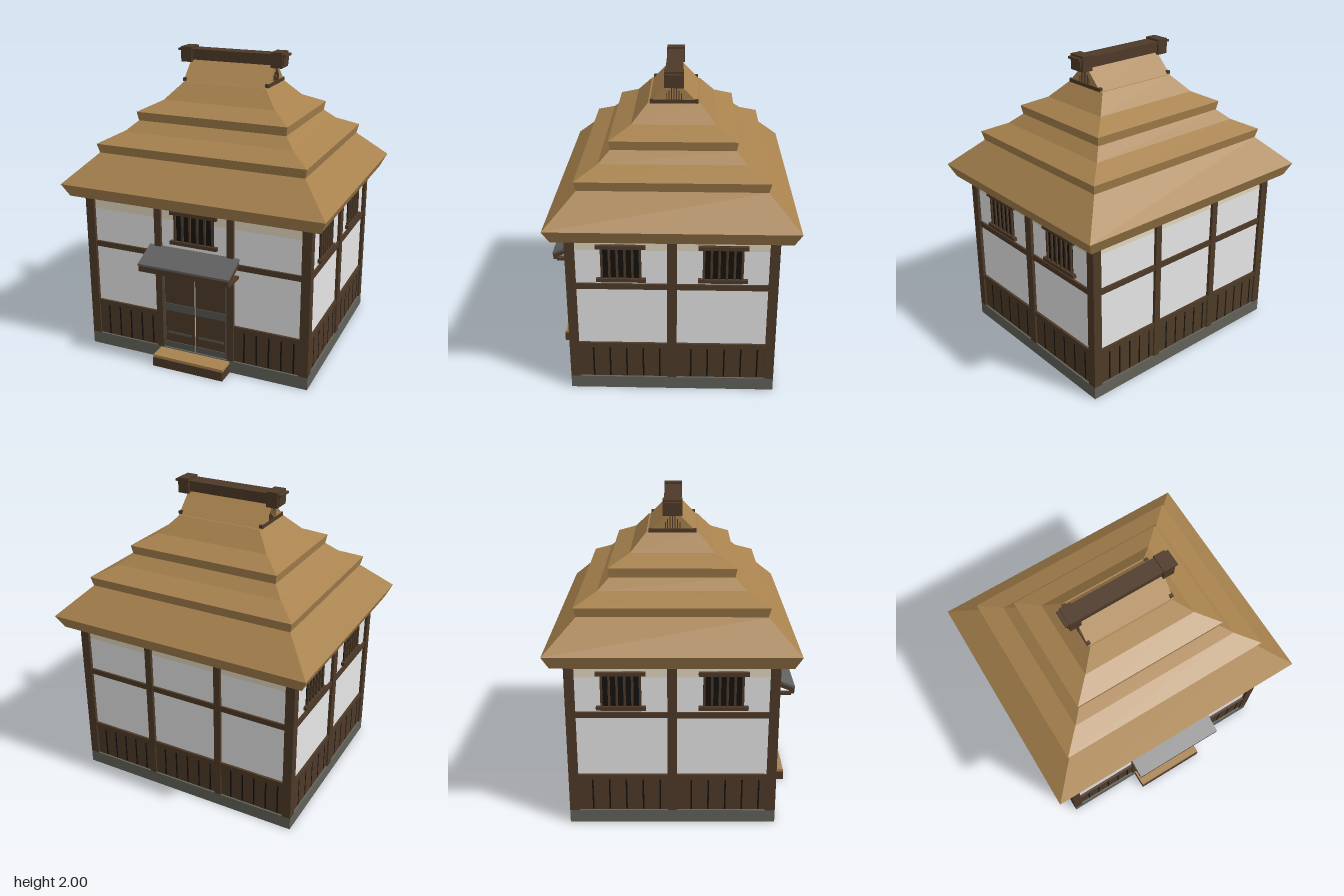
import * as THREE from 'three';

const mat = (name, color, side = THREE.FrontSide) => {
  const m = new THREE.MeshStandardMaterial({ color, side });
  m.name = name;
  return m;
};

export function createModel() {
  const thatch = mat('thatch', 0xa8824e);
  const wood = mat('dark wood', 0x4e3a28);
  const stone = mat('stone', 0x62625a);
  const slate = mat('slate grey', 0x606060);
  const iron = mat('door iron', 0x565650);
  const plaster = mat('white plaster', 0xe6e6e6);
  const cream = mat('cream plaster', 0xe3d8c0);
  const black = mat('opening black', 0x14120f);

  const house = new THREE.Group();
  house.name = 'thatchedHouse';
  const HX = 0.78, HZ = 0.655, EAVE = 1.1;
  // everything except the step and hood is centred a little behind the origin
  const body = new THREE.Group();
  body.name = 'body';
  body.position.z = -0.025;
  house.add(body);

  // box given by its min and max on each axis
  const box = (parent, name, m, x0, x1, y0, y1, z0, z1) => {
    const mesh = new THREE.Mesh(new THREE.BoxGeometry(x1 - x0, y1 - y0, z1 - z0), m);
    mesh.position.set((x0 + x1) / 2, (y0 + y1) / 2, (z0 + z1) / 2);
    mesh.name = name;
    parent.add(mesh);
    return mesh;
  };

  // foundation, plaster core and corner posts
  box(body, 'foundation', stone, -HX, HX, 0, 0.085, -HZ, HZ);
  box(body, 'plasterWalls', plaster, -HX + 0.02, HX - 0.02, 0.085, 1.0, -HZ + 0.02, HZ - 0.02);
  box(body, 'upperWalls', cream, -HX + 0.02, HX - 0.02, 1.0, EAVE, -HZ + 0.02, HZ - 0.02);
  for (const sx of [-1, 1]) for (const sz of [-1, 1]) {
    const x = sx * (HX - 0.03), z = sz * (HZ - 0.03);
    box(body, 'cornerPost', wood, x - 0.03, x + 0.03, 0.085, EAVE, z - 0.03, z + 0.03);
  }

  // barred window centred at x on a wall whose outer plane is z = d
  const barredWindow = (g, x, y0, y1, half, railHalf, d) => {
    const w = new THREE.Group();
    w.name = 'barredWindow';
    w.position.set(x, 0, d);
    box(w, 'opening', black, -half, half, y0, y1, -0.02, -0.014);
    for (const [a, b] of [[y0, y0 + 0.024], [y1 - 0.024, y1]])
      box(w, 'windowRail', wood, -railHalf, railHalf, a, b, -0.02, 0.004);
    for (let i = 0; i <= 5; i++) {
      const bx = (-1 + i * 0.4) * (half - 0.007);
      box(w, 'windowBar', wood, bx - 0.007, bx + 0.007, y0 + 0.02, y1 - 0.02, -0.016, -0.003);
    }
    g.add(w);
  };

  // timber frame of one wall: posts, middle beam and boarded skirt per bay
  const wallFrame = (name, angle, half, d, posts, postHalf, skipBay) => {
    const g = new THREE.Group();
    g.name = name;
    g.rotation.y = angle;
    body.add(g);
    const inner = half - 0.06;
    box(g, 'middleBeam', wood, -inner, inner, 0.735, 0.772, d - 0.02, d - 0.006);
    for (const p of posts)
      box(g, 'wallPost', wood, p - postHalf, p + postHalf, 0.085, EAVE, d - 0.025, d);
    const edges = [-inner, ...posts.flatMap((p) => [p - postHalf, p + postHalf]), inner];
    for (let b = 0; b < edges.length / 2; b++) {
      if (b === skipBay) continue;
      const x0 = edges[2 * b], x1 = edges[2 * b + 1];
      box(g, 'skirtBoards', wood, x0, x1, 0.085, 0.31, d - 0.022, d - 0.012);
      box(g, 'skirtRail', wood, x0, x1, 0.305, 0.34, d - 0.022, d - 0.004);
      const step = (x1 - x0) / 5.3;
      for (let i = 1; i <= 5; i++) {
        const x = x0 + (i - 0.15) * step;
        box(g, 'boardGap', black, x - 0.005, x + 0.005, 0.088, 0.305, d - 0.013, d - 0.011);
      }
    }
    return g;
  };

  const front = wallFrame('frontWall', 0, HX, HZ, [-0.2525, 0.2525], 0.0225, 1);
  wallFrame('backWall', Math.PI, HX, HZ, [-0.2525, 0.2525], 0.0225, -1);
  for (const s of [-1, 1]) {
    const side = wallFrame(s > 0 ? 'rightWall' : 'leftWall', s * Math.PI / 2, HZ, HX, [0], 0.03, -1);
    for (const x of [-0.313, 0.313]) barredWindow(side, x, 0.79, 1.04, 0.125, 0.153, HX);
  }
  barredWindow(front, 0, 0.84, 1.065, 0.137, 0.163, HZ);

  // double door with iron bands
  for (const s of [-1, 1]) {
    const leaf = new THREE.Group();
    leaf.name = 'doorLeaf';
    leaf.position.set(s * 0.115, 0, HZ - 0.02);
    box(leaf, 'doorPanel', wood, -0.11, 0.11, 0.088, 0.7, 0, 0.008);
    for (const [a, b] of [[0.088, 0.13], [0.36, 0.412], [0.635, 0.69]])
      box(leaf, 'ironBand', iron, -0.11, 0.11, a, b, 0.006, 0.013);
    box(leaf, 'ironEdge', iron, s > 0 ? 0.1 : -0.11, s > 0 ? 0.11 : -0.1, 0.13, 0.635, 0.006, 0.012);
    for (const [a, b] of [[0.19, 0.205], [0.61, 0.622]])
      box(leaf, 'thinBand', iron, -0.09, 0.09, a, b, 0.006, 0.011);
    front.add(leaf);
  }

  // entrance step
  const step = new THREE.Group();
  step.name = 'entranceStep';
  box(step, 'stepBase', wood, -0.25, 0.25, 0, 0.062, 0.62, 0.75);
  box(step, 'stepTop', thatch, -0.25, 0.25, 0.062, 0.08, 0.62, 0.745);
  house.add(step);

  // door hood: sloped slate slab on wooden brackets
  const hood = new THREE.Group();
  hood.name = 'doorHood';
  const alongX = (name, m, pts, x0, x1) => {
    // (z, y) outline swept along x
    const shape = new THREE.Shape(pts.map(([z, y]) => new THREE.Vector2(-z, y)));
    const geo = new THREE.ExtrudeGeometry(shape, { depth: x1 - x0, bevelEnabled: false });
    geo.rotateY(Math.PI / 2).translate(x0, 0, 0);
    const mesh = new THREE.Mesh(geo, m);
    mesh.name = name;
    return mesh;
  };
  hood.add(alongX('hoodSlab', slate, [[0.62, 0.795], [0.62, 0.815], [0.79, 0.742], [0.79, 0.728]], -0.313, 0.313));
  for (const s of [-1, 1]) {
    const x0 = s > 0 ? 0.275 : -0.31;
    hood.add(alongX('hoodRafter', wood, [[0.62, 0.765], [0.62, 0.795], [0.788, 0.728], [0.788, 0.7]], x0, x0 + 0.035));
    box(hood, 'hoodBracket', wood, x0, x0 + 0.035, 0.68, 0.698, 0.62, 0.765);
  }
  box(hood, 'hoodFascia', wood, -0.31, 0.31, 0.69, 0.73, 0.758, 0.786);
  house.add(hood);

  // stepped thatch roof: rectangular rings of [half width in x, height]
  const profile = [[0.85, 1.095], [0.89, 1.18], [0.7, 1.365], [0.714, 1.425], [0.58, 1.49],
    [0.51, 1.555], [0.52, 1.613], [0.388, 1.677], [0.288, 1.787]];
  const ring = ([h, y]) => {
    const z = h - 0.125;
    return [[-h, y, z], [h, y, z], [h, y, -z], [-h, y, -z]];
  };
  const verts = [];
  const quad = (a, b, c, d) => verts.push(...a, ...b, ...c, ...a, ...c, ...d);
  for (let i = 0; i < profile.length - 1; i++) {
    const lo = ring(profile[i]), hi = ring(profile[i + 1]);
    for (let k = 0; k < 4; k++) {
      const n = (k + 1) % 4;
      quad(lo[k], lo[n], hi[n], hi[k]);
    }
  }
  const bottom = ring(profile[0]);
  quad(bottom[3], bottom[2], bottom[1], bottom[0]);
  quad(...ring(profile[profile.length - 1]));
  const roofGeo = new THREE.BufferGeometry();
  roofGeo.setAttribute('position', new THREE.Float32BufferAttribute(verts, 3));
  roofGeo.computeVertexNormals();
  const roof = new THREE.Mesh(roofGeo, thatch);
  roof.name = 'thatchRoof';
  body.add(roof);

  // gable cap with ledges and slats at both ends
  body.add(alongX('gableCap', thatch, [[-0.155, 1.785], [0, 1.94], [0.155, 1.785]], -0.297, 0.297));
  for (const s of [-1, 1]) {
    const x = s * 0.29;
    box(body, 'gableLedge', wood, x - 0.012, x + 0.012, 1.787, 1.81, -0.15, 0.15);
    for (let i = -3; i <= 3; i++)
      box(body, 'gableSlat', wood, s * 0.296 - 0.004, s * 0.296 + 0.004, 1.81, 1.905 - Math.abs(i) * 0.018, i * 0.015 - 0.003, i * 0.015 + 0.003);
  }

  // ridge beam with end blocks
  const ridge = new THREE.Group();
  ridge.name = 'ridge';
  box(ridge, 'ridgeBeam', wood, -0.365, 0.365, 1.915, 1.975, -0.045, 0.045);
  box(ridge, 'ridgeBoard', wood, -0.38, 0.38, 1.973, 1.987, -0.055, 0.055);
  for (const s of [-1, 1])
    box(ridge, 'ridgeBlock', wood, s * 0.318 - 0.038, s * 0.318 + 0.038, 1.9, 2.0, -0.06, 0.06);
  body.add(ridge);
  return house;
}
